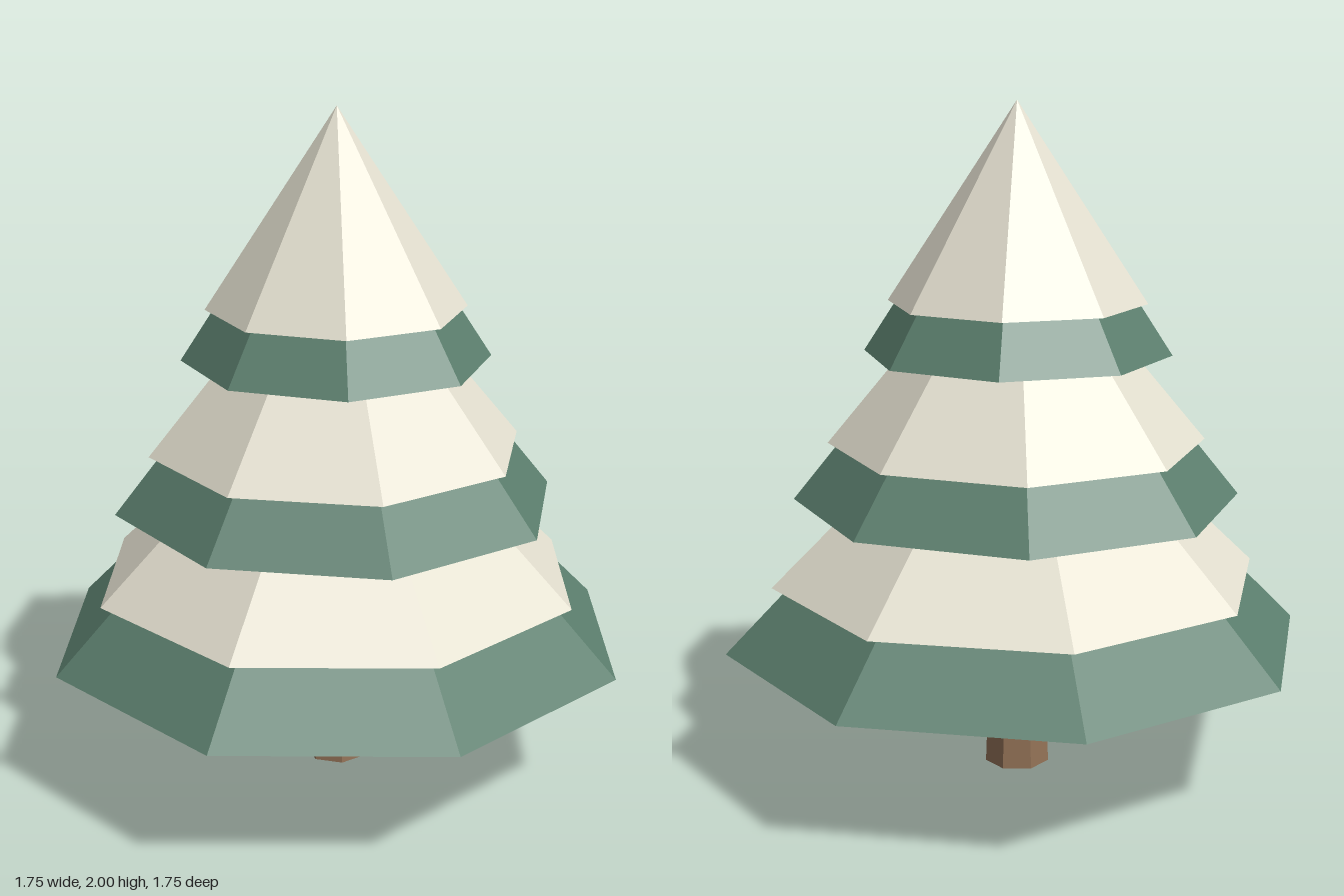
import * as THREE from 'three';

const material = (name, color) => {
  const m = new THREE.MeshStandardMaterial({ color, flatShading: true });
  m.name = name;
  return m;
};

export function createModel() {
  const tree = new THREE.Group();
  tree.name = 'snowyTree';
  const green = material('needleGreen', 0x5c7f6e);
  const snow = material('snowCream', 0xe4e0d0);
  const bark = material('barkBrown', 0x937257);

  // A faceted cone or frustum standing on y0, turned by a number of degrees
  function addPart(name, mat, y0, y1, rBottom, rTop, sides, turn) {
    const geometry = new THREE.CylinderGeometry(rTop, rBottom, y1 - y0, sides);
    const mesh = new THREE.Mesh(geometry, mat);
    mesh.position.y = (y0 + y1) / 2;
    mesh.rotation.y = THREE.MathUtils.degToRad(turn);
    mesh.name = name;
    tree.add(mesh);
  }

  // Tapered seven-sided trunk, reaching a little into the foliage
  addPart('trunk', bark, 0, 0.45, 0.098, 0.081, 7, -12);

  // Each tier: a green cone with a slightly overhanging snow cone on top
  const tiers = [
    { name: 'lower', y: 0.4, r: 0.877, apex: 1.29, snowY: 0.595, snowR: 0.737, snowApex: 1.31, turn: 0 },
    { name: 'middle', y: 0.835, r: 0.664, apex: 1.66, snowY: 1.005, snowR: 0.56, snowApex: 1.68, turn: -9 },
    { name: 'upper', y: 1.27, r: 0.455, apex: 1.97, snowY: 1.42, snowR: 0.382, snowApex: 2, turn: -18 },
  ];
  for (const t of tiers) {
    addPart(t.name + 'Foliage', green, t.y, t.apex, t.r, 0, 8, t.turn);
    addPart(t.name + 'Snow', snow, t.snowY, t.snowApex, t.snowR, 0, 8, t.turn);
  }
  return tree;
}
